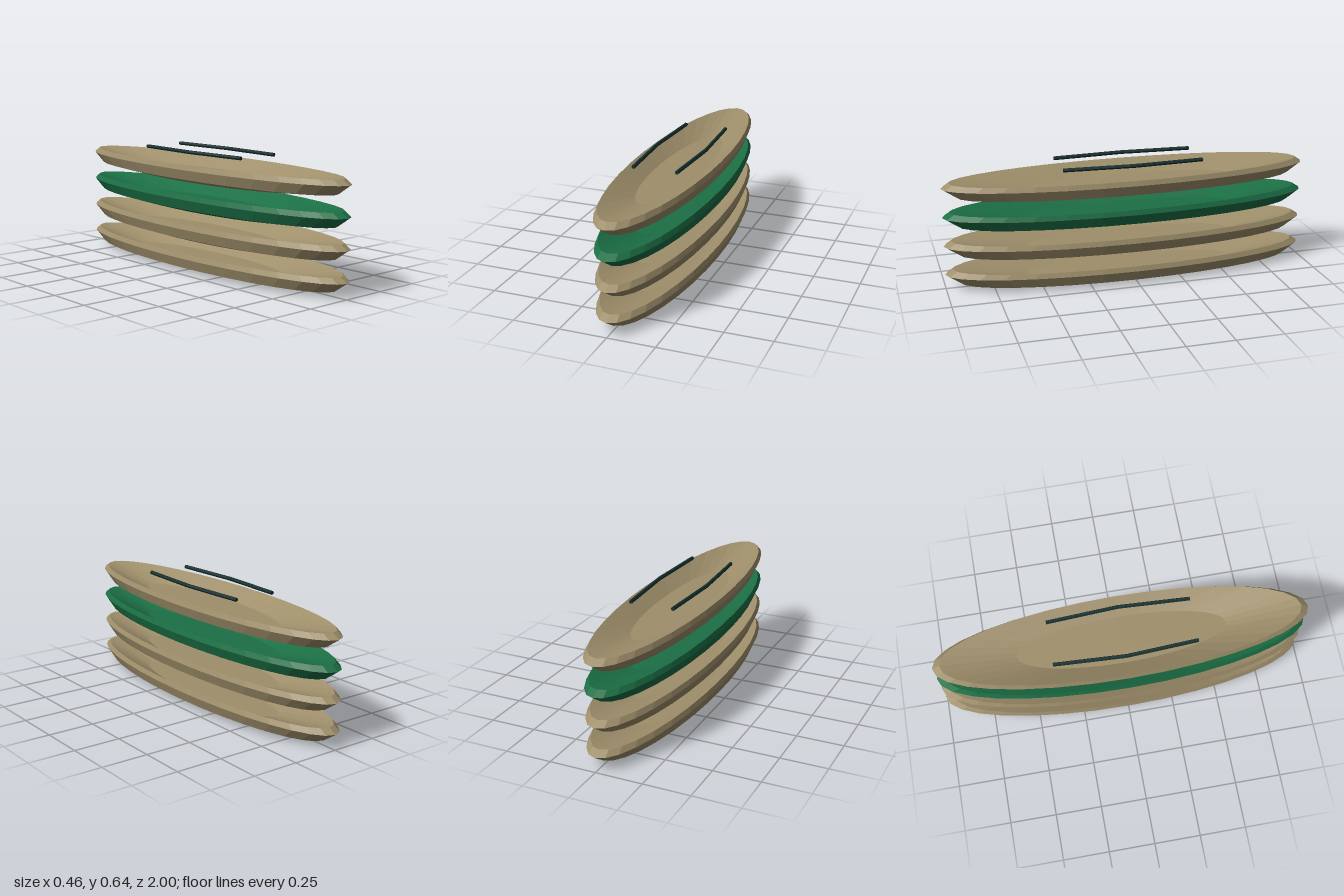
import * as THREE from 'three';

// Joins rings of points into a faceted surface; the order gives outward faces.
function loft(rings) {
  const pos = [];
  const n = rings[0].length;
  for (let j = 0; j < rings.length - 1; j++) {
    for (let i = 0; i < n; i++) {
      const k = (i + 1) % n;
      const a = rings[j][i], b = rings[j][k], c = rings[j + 1][k], d = rings[j + 1][i];
      for (const tri of [[a, b, c], [a, c, d]]) {
        if (tri[0].equals(tri[1]) || tri[1].equals(tri[2]) || tri[0].equals(tri[2])) continue;
        for (const p of tri) pos.push(p.x, p.y, p.z);
      }
    }
  }
  const g = new THREE.BufferGeometry();
  g.setAttribute('position', new THREE.Float32BufferAttribute(pos, 3));
  g.computeVertexNormals();
  return g;
}

// Long elliptical dish: [half width, height, half length] from underside to inner floor
function dishGeometry() {
  const profile = [
    [0, 0, 0], [0.14, 0, 0.6], [0.213, 0.025, 0.92], [0.232, 0.079, 1],
    [0.223, 0.105, 0.96], [0.13, 0.042, 0.56], [0, 0.042, 0],
  ];
  const sides = 32;
  return loft(profile.map(([rx, y, rz]) => Array.from({ length: sides }, (_, i) => {
    const a = (i / sides) * Math.PI * 2;
    return new THREE.Vector3(rx ? rx * Math.sin(a) : 0, y, rz ? rz * Math.cos(a) : 0);
  })));
}

// Thin six-sided rail of two straight halves, bent outward at its middle
function railGeometry(side) {
  const ring = (x, z, r) => Array.from({ length: 6 }, (_, i) => {
    const a = (i / 6) * Math.PI * 2;
    return new THREE.Vector3(side * x + r * Math.cos(a), r * Math.sin(a), z);
  });
  const r = 0.0105;
  return loft([
    ring(0.1175, -0.38, 0), ring(0.1175, -0.38, r), ring(0.1375, 0, r),
    ring(0.1175, 0.38, r), ring(0.1175, 0.38, 0),
  ]);
}

export function createModel() {
  const tan = new THREE.MeshStandardMaterial({ color: 0x9f8f6b });
  tan.name = 'tan';
  const green = new THREE.MeshStandardMaterial({ color: 0x1b6f45 });
  green.name = 'green';
  const dark = new THREE.MeshStandardMaterial({ color: 0x16302f });
  dark.name = 'dark teal';

  const model = new THREE.Group();
  model.name = 'dishStack';

  // Four stacked dishes, the third one green
  const dish = dishGeometry();
  for (let i = 0; i < 4; i++) {
    const mesh = new THREE.Mesh(dish, i === 2 ? green : tan);
    mesh.name = i === 2 ? 'greenDish' : `tanDish${i + 1}`;
    mesh.position.y = i * 0.158;
    model.add(mesh);
  }

  // Pair of rails above the top dish
  for (const side of [1, -1]) {
    const rail = new THREE.Mesh(railGeometry(side), dark);
    rail.name = side > 0 ? 'leftRail' : 'rightRail';
    rail.position.y = 0.635;
    model.add(rail);
  }
  return model;
}
